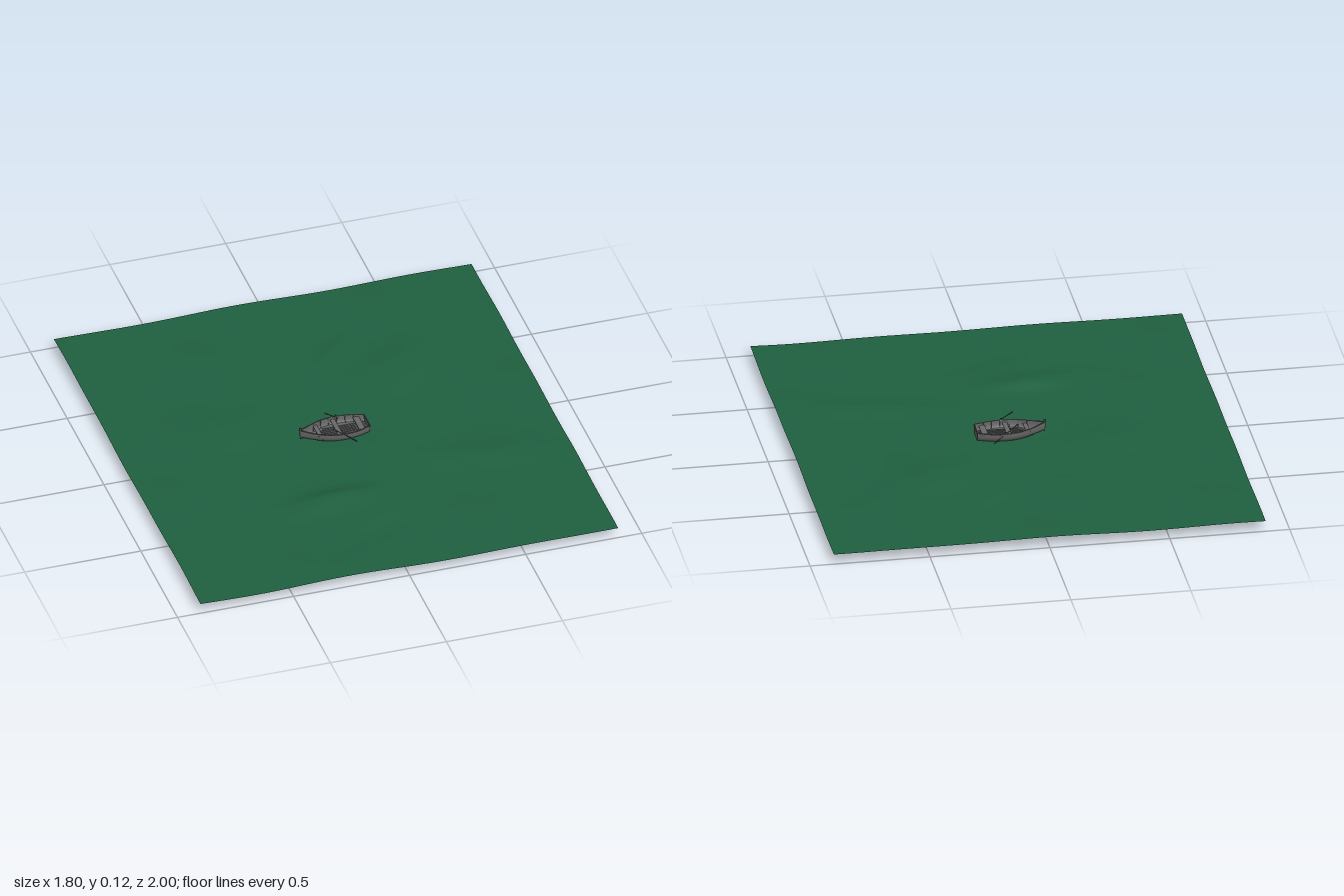
import * as THREE from 'three';

const paint = (color) => new THREE.MeshStandardMaterial({ color, side: THREE.DoubleSide });
const wood = paint(0x686868);
const darkWood = paint(0x555555);
const sea = paint(0x1f6040);

function add(parent, name, geometry, material) {
  const mesh = new THREE.Mesh(geometry, material);
  mesh.name = name;
  parent.add(mesh);
  return mesh;
}

// Smooth sheet from a rule (u, v in 0..1) -> [x, y, z]
function sheet(nu, nv, rule) {
  const geo = new THREE.PlaneGeometry(1, 1, nu, nv);
  const pos = geo.attributes.position;
  for (let i = 0; i < pos.count; i++) {
    pos.setXYZ(i, ...rule(pos.getX(i) + 0.5, 0.5 - pos.getY(i)));
  }
  geo.computeVertexNormals();
  return geo;
}

// Long swells: x, z, length, width, angle, height
const swells = [
  [-0.16, 0.47, 0.20, 0.07, 0.1, 0.014],
  [0.45, -0.42, 0.30, 0.13, 0.6, 0.012],
  [0.18, -0.58, 0.12, 0.05, 0.8, 0.006],
  [-0.4, -0.15, 0.22, 0.14, 0.4, 0.008],
  [0.5, 0.32, 0.28, 0.08, -0.2, 0.010],
  [0.0, 0.70, 0.22, 0.06, 0.4, -0.006],
  [0.0, 0.0, 0.18, 0.10, 0.0, -0.006],
];

function waterHeight(x, z) {
  let y = 0.041 + 0.002 * Math.sin(9 * x + 4 * z) + 0.002 * Math.sin(12 * z - 5 * x + 1);
  for (const [cx, cz, a, b, turn, h] of swells) {
    const c = Math.cos(turn), s = Math.sin(turn);
    const p = ((x - cx) * c - (z - cz) * s) / a;
    const q = ((x - cx) * s + (z - cz) * c) / b;
    y += h * Math.exp(-p * p - q * q);
  }
  // steep back of the nearest crest
  const crest = Math.exp(-(((x + 0.14) / 0.15) ** 2));
  y += 0.007 * crest * Math.exp(-(((z - 0.43) / 0.035) ** 2));
  return y;
}

// Sheer line of the hull: x, height, half width from bow to stern
const sheer = new THREE.CatmullRomCurve3([
  [-0.152, 0.085, 0.002], [-0.10, 0.079, 0.033], [-0.04, 0.076, 0.059],
  [0.02, 0.075, 0.067], [0.08, 0.075, 0.060], [0.135, 0.077, 0.042],
].map((p) => new THREE.Vector3(...p)));

// Point on a hull section; side -1..1 runs gunwale to gunwale
function hullPoint(t, side, inset = 0) {
  const p = sheer.getPoint(t);
  const a = side * Math.PI / 2;
  const keel = 0.024 + 0.03 * (1 - t) ** 4 + 0.006 * t ** 4 + inset;
  const w = Math.max(p.z - inset, 0.001);
  const z = w * Math.sign(a) * Math.abs(Math.sin(a)) ** 0.75;
  return [p.x, p.y - (p.y - keel) * Math.max(Math.cos(a), 0) ** 0.75, z];
}

function sectionCurve(t, inset) {
  const pts = [];
  for (let i = 0; i <= 12; i++) pts.push(new THREE.Vector3(...hullPoint(t, i / 6 - 1, inset)));
  return new THREE.CatmullRomCurve3(pts);
}

function beam(parent, name, size, at, material) {
  const mesh = add(parent, name, new THREE.BoxGeometry(...size), material);
  mesh.position.set(...at);
  return mesh;
}

function makeOar(side) {
  const oar = new THREE.Group();
  oar.name = side > 0 ? 'frontOar' : 'backOar';
  const grip = new THREE.Vector3(-0.03, 0.11, side * 0.06);
  const tip = new THREE.Vector3(0.118, 0.004, side * 0.087);
  const length = grip.distanceTo(tip);
  const shaft = add(oar, 'oarShaft', new THREE.CylinderGeometry(0.002, 0.002, length * 0.85, 8), darkWood);
  shaft.position.y = -length * 0.425;
  const handle = add(oar, 'oarHandle', new THREE.CylinderGeometry(0.003, 0.003, 0.02, 8), darkWood);
  handle.position.y = -0.01;
  // Flat blade widening to the tip
  const outline = new THREE.Shape();
  outline.moveTo(-0.002, -length * 0.74);
  outline.lineTo(-0.011, -length * 0.9);
  outline.lineTo(-0.009, -length);
  outline.lineTo(0.009, -length);
  outline.lineTo(0.011, -length * 0.9);
  outline.lineTo(0.002, -length * 0.74);
  add(oar, 'oarBlade', new THREE.ExtrudeGeometry(outline, { depth: 0.002, bevelEnabled: false }), darkWood);
  oar.position.copy(grip);
  oar.quaternion.setFromUnitVectors(new THREE.Vector3(0, -1, 0), tip.clone().sub(grip).normalize());
  return oar;
}

function makeBoat() {
  const boat = new THREE.Group();
  boat.name = 'rowingBoat';
  add(boat, 'hullOutside', sheet(28, 20, (u, v) => hullPoint(u, v * 2 - 1)), wood);
  add(boat, 'hullInside', sheet(28, 20, (u, v) => hullPoint(u, v * 2 - 1, 0.003)), wood);

  // Floor boards fitted to the hull
  add(boat, 'floor', sheet(20, 2, (u, v) => {
    const p = sheer.getPoint(0.08 + 0.92 * u);
    return [p.x, 0.047, (v * 2 - 1) * p.z * 0.88];
  }), wood);
  for (let i = -3; i <= 3; i++) {
    const start = -0.095 + Math.abs(i) * 0.016;
    beam(boat, 'floorSlat', [0.13 - start, 0.002, 0.007], [(0.13 + start) / 2, 0.049, i * 0.0115], darkWood);
  }

  // Transom closing the stern
  add(boat, 'transom', sheet(2, 20, (u, v) => {
    const [x, y, z] = hullPoint(1, v * 2 - 1);
    const top = sheer.getPoint(1).y;
    return [x, y + (top - y) * u, z];
  }), wood);
  beam(boat, 'transomRail', [0.005, 0.005, 0.088], [0.135, 0.077, 0], darkWood);

  // Gunwales along both sides
  for (const side of [-1, 1]) {
    const rail = new THREE.CatmullRomCurve3(
      sheer.getPoints(16).map((p) => new THREE.Vector3(p.x, p.y, p.z * side)));
    add(boat, 'gunwale', new THREE.TubeGeometry(rail, 40, 0.003, 6), darkWood);
    beam(boat, 'oarlock', [0.006, 0.01, 0.004], [0.02, 0.079, side * 0.067], darkWood);
  }

  // Ribs
  for (const t of [0.25, 0.37, 0.49, 0.61, 0.73, 0.85]) {
    add(boat, 'rib', new THREE.TubeGeometry(sectionCurve(t, 0.004), 24, 0.0018, 5), darkWood);
  }

  // Seats across the hull
  for (const [t, depth] of [[0.28, 0.018], [0.55, 0.02], [0.88, 0.026]]) {
    const p = sheer.getPoint(t);
    beam(boat, 'seat', [depth, 0.003, p.z * 1.9], [p.x, 0.066, 0], wood);
  }

  // Stem post and keel
  beam(boat, 'stemPost', [0.008, 0.05, 0.006], [-0.151, 0.072, 0], darkWood).rotation.z = 0.08;
  const keel = new THREE.CatmullRomCurve3([0.05, 0.2, 0.4, 0.6, 0.8, 1].map(
    (t) => new THREE.Vector3(...hullPoint(t, 0))));
  add(boat, 'keel', new THREE.TubeGeometry(keel, 20, 0.003, 5), darkWood);
  boat.position.z = -0.006;
  return boat;
}

export function createModel() {
  const model = new THREE.Group();
  model.name = 'boatOnWater';
  // Rippled water with slightly wandering edges
  add(model, 'water', sheet(110, 120, (u, v) => {
    const x = u * 1.8 - 0.9, z = v * 2 - 1;
    return [
      x + 0.005 * Math.sin(5 * z + 1.6) * Math.cos(2 * x),
      waterHeight(x, z),
      z * 0.997 + 0.003 * Math.sin(7 * x),
    ];
  }), sea);
  model.add(makeBoat(), makeOar(1), makeOar(-1));
  return model;
}
